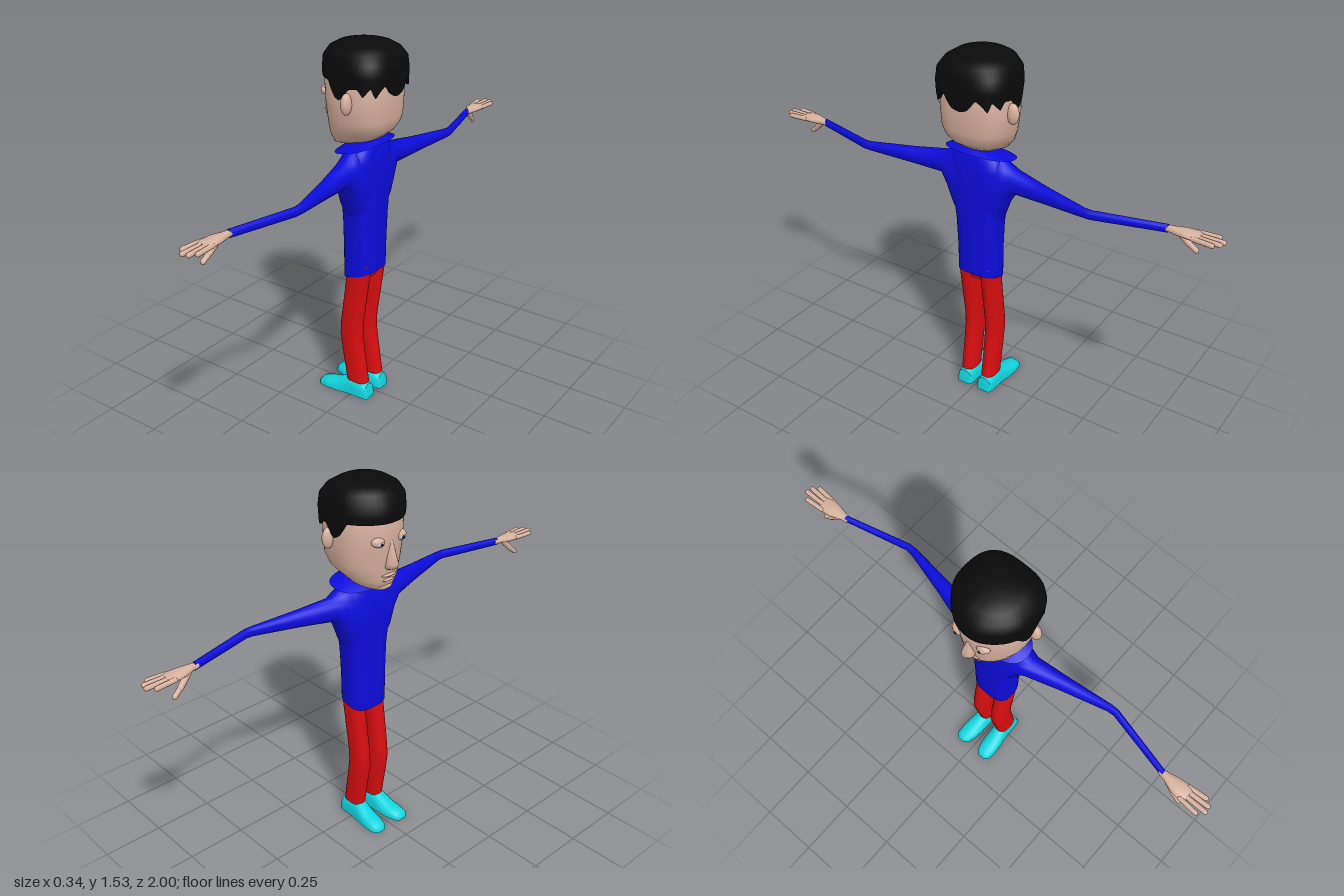
import * as THREE from 'three';
import { toCreasedNormals } from 'three/addons/utils/BufferGeometryUtils.js';

const mat = (name, color) => Object.assign(new THREE.MeshStandardMaterial({ color }), { name });
const V = (x, y, z) => new THREE.Vector3(x, y, z);
const spow = (v, p) => Math.sign(v) * Math.abs(v) ** p;

// Skin a list of closed rings; ends are capped and faces turned outward
function loft(rings, capped = true, crease = 0.9) {
  const n = rings[0].length, pos = [], idx = [];
  rings.forEach(r => r.forEach(p => pos.push(p.x, p.y, p.z)));
  for (let i = 0; i < rings.length - 1; i++) for (let j = 0; j < n; j++) {
    const a = i * n + j, b = i * n + (j + 1) % n;
    idx.push(a, b, a + n, b, b + n, a + n);
  }
  if (capped) [0, rings.length - 1].forEach((k, end) => {
    const c = rings[k].reduce((s, p) => s.add(p), V(0, 0, 0)).divideScalar(n), ci = pos.length / 3;
    pos.push(c.x, c.y, c.z);
    for (let j = 0; j < n; j++) {
      const a = k * n + j, b = k * n + (j + 1) % n;
      if (end) idx.push(a, b, ci); else idx.push(b, a, ci);
    }
  });
  const at = i => V(pos[3 * i], pos[3 * i + 1] - 1, pos[3 * i + 2]);
  let vol = 0;
  for (let i = 0; i < idx.length; i += 3) vol += at(idx[i]).dot(at(idx[i + 1]).cross(at(idx[i + 2])));
  if (vol < 0) idx.reverse();
  const g = new THREE.BufferGeometry();
  g.setAttribute('position', new THREE.Float32BufferAttribute(pos, 3));
  g.setIndex(idx);
  return toCreasedNormals(g, crease);
}

// Level ring: front and back x, half width, optional tilt, squareness and narrowing toward the face
function ring(y, xf, xb, hz, { tilt = 0, p = 1, narrow = 0, cz = 0, n = 32, edge = null } = {}) {
  return Array.from({ length: n }, (_, i) => {
    const t = i / n * Math.PI * 2, c = spow(Math.cos(t), p), s = spow(Math.sin(t), p);
    const x = (xf + xb) / 2 + (xb - xf) / 2 * c;
    const z = hz * s * (1 - narrow * Math.max(0, -c) ** 2);
    return V(x, (edge ? edge(t) : y) + tilt * x, cz + z);
  });
}

// Upright ring around the arm axis: z, x range, y range
function armRing(z, x0, x1, y0, y1, n = 20) {
  return Array.from({ length: n }, (_, i) => {
    const t = i / n * Math.PI * 2;
    return V((x0 + x1) / 2 + (x1 - x0) / 2 * Math.cos(t), (y0 + y1) / 2 + (y1 - y0) / 2 * Math.sin(t), z);
  });
}

// Jagged hairline height by angle, from nape (0) to forehead (pi)
const HAIRLINE = [[0, 1.335], [0.12, 1.345], [0.32, 1.39], [0.5, 1.37], [0.65, 1.345], [0.8, 1.385], [1.05, 1.35],
  [1.2, 1.38], [1.42, 1.375], [1.58, 1.325], [1.8, 1.395], [3.15, 1.395]];
function hairline(t) {
  const a = t > Math.PI ? Math.PI * 2 - t : t;
  const k = HAIRLINE.findIndex(h => h[0] >= a);
  if (k <= 0) return HAIRLINE[0][1];
  const [a0, y0] = HAIRLINE[k - 1], [a1, y1] = HAIRLINE[k];
  return y0 + (y1 - y0) * (a - a0) / (a1 - a0);
}

export function createModel() {
  const blue = mat('shirt blue', 0x0c0cdc), red = mat('trouser red', 0xd80e10), teal = mat('shoe teal', 0x12d4de);
  const skin = mat('skin', 0xd6b09d), black = mat('hair black', 0x0a0a0a), grey = mat('eye grey', 0xb9b3bd);
  const collarBlue = mat('collar blue', 0x0c0cdc);
  collarBlue.side = black.side = THREE.DoubleSide;

  const root = new THREE.Group();
  root.name = 'figure';
  const add = (name, geo, m, parent = root) => {
    const mesh = new THREE.Mesh(geo, m);
    mesh.name = name;
    parent.add(mesh);
    return mesh;
  };
  const ball = (name, m, p, s, parent) => {
    const b = add(name, new THREE.SphereGeometry(1, 20, 14), m, parent);
    b.position.set(...p);
    b.scale.set(...s);
    return b;
  };
  const capsule = (name, a, b, r, parent) => {
    const d = b.clone().sub(a);
    const c = add(name, new THREE.CapsuleGeometry(r, d.length(), 5, 12), skin, parent);
    c.position.copy(a).add(b).multiplyScalar(0.5);
    c.quaternion.setFromUnitVectors(V(0, 1, 0), d.normalize());
  };

  // Shirt body with slanted hem
  const sq = { p: 0.7 };
  add('shirtBody', loft([
    ring(0.565, -0.05, 0.085, 0.09, { ...sq, tilt: 0.27 }), ring(0.7, -0.052, 0.088, 0.09, sq),
    ring(0.82, -0.052, 0.09, 0.096, sq), ring(0.95, -0.052, 0.09, 0.115, sq), ring(1.06, -0.05, 0.09, 0.12, sq),
    ring(1.11, -0.03, 0.085, 0.105, sq), ring(1.135, -0.015, 0.075, 0.06)]), blue);

  // Open collar with spread flaps
  add('collar', loft([
    ring(1.115, -0.068, 0.1, 0.15, { tilt: 0.18, p: 0.85, n: 40 }),
    ring(1.133, -0.04, 0.085, 0.1, { tilt: 0.15, n: 40 }),
    ring(1.14, -0.025, 0.075, 0.055, { tilt: 0.15, n: 40 }),
    ring(1.115, -0.02, 0.07, 0.05, { tilt: 0.15, n: 40 })], false), collarBlue);

  // Head, tilted at the jaw
  const hd = { p: 0.7, narrow: 0.42, n: 48 };
  const head = new THREE.Group();
  head.name = 'head';
  root.add(head);
  add('neck', loft([ring(1.08, -0.015, 0.065, 0.045), ring(1.18, -0.015, 0.065, 0.045)]), skin, head);
  add('skull', loft([
    ring(1.13, -0.075, 0.09, 0.06, { ...hd, tilt: 0.3 }), ring(1.147, -0.115, 0.122, 0.092, { ...hd, tilt: 0.29 }),
    ring(1.18, -0.125, 0.138, 0.124, { ...hd, tilt: 0.22 }), ring(1.225, -0.13, 0.145, 0.14, { ...hd, tilt: 0.1 }),
    ring(1.3, -0.141, 0.147, 0.147, hd), ring(1.4, -0.144, 0.152, 0.147, hd),
    ring(1.47, -0.12, 0.13, 0.12, hd)], true, 1.3), skin, head);
  add('nose', loft([
    ring(1.2, -0.138, -0.11, 0.012, { n: 16 }), ring(1.212, -0.163, -0.11, 0.025, { n: 16 }),
    ring(1.23, -0.171, -0.11, 0.024, { n: 16 }), ring(1.27, -0.156, -0.11, 0.017, { n: 16 }),
    ring(1.32, -0.143, -0.11, 0.011, { n: 16 })], true, 1.3), skin, head);
  ball('upperLip', skin, [-0.124, 1.177, 0], [0.012, 0.007, 0.035], head);
  ball('lowerLip', skin, [-0.119, 1.157, 0], [0.012, 0.008, 0.03], head);
  ball('chin', skin, [-0.098, 1.127, 0], [0.025, 0.018, 0.04], head);

  // Hair cap ending in points
  const hr = { p: 0.7, narrow: 0.42, n: 144 };
  add('hair', loft([
    ring(0, -0.146, 0.152, 0.147, { ...hr, edge: t => hairline(t) + 0.004 }),
    ring(0, -0.151, 0.164, 0.156, { ...hr, edge: hairline }),
    ring(1.42, -0.152, 0.166, 0.158, hr), ring(1.465, -0.147, 0.16, 0.153, { ...hr, narrow: 0.4 }),
    ring(1.497, -0.125, 0.14, 0.132, { ...hr, p: 0.75, narrow: 0.35 }),
    ring(1.517, -0.09, 0.11, 0.1, { ...hr, p: 0.85, narrow: 0.2 }),
    ring(1.529, -0.04, 0.06, 0.05, { ...hr, p: 1, narrow: 0 })], true, 1.2), black, head);

  for (const s of [1, -1]) {
    const side = s > 0 ? 'left' : 'right';
    const mirror = r => r.map(p => V(p.x, p.y, p.z * s));

    // Face details at the side
    ball(side + 'Ear', skin, [0.04, 1.318, s * 0.155], [0.02, 0.042, 0.026], head);
    ball(side + 'Eyelid', skin, [-0.123, 1.324, s * 0.055], [0.02, 0.02, 0.03], head);
    ball(side + 'Eye', grey, [-0.128, 1.318, s * 0.055], [0.018, 0.014, 0.022], head);
    ball(side + 'Pupil', black, [-0.144, 1.318, s * 0.055], [0.004, 0.007, 0.007], head);

    // Sleeve flowing out of the shoulder, bent back at the elbow
    add(side + 'Sleeve', loft([
      armRing(0.05, -0.05, 0.088, 0.76, 1.14), armRing(0.1, -0.046, 0.085, 0.84, 1.122),
      armRing(0.13, -0.035, 0.078, 0.925, 1.1), armRing(0.165, -0.024, 0.064, 0.982, 1.08),
      armRing(0.3, 0.018, 0.078, 0.996, 1.066), armRing(0.49, 0.07, 0.1, 1.012, 1.052),
      armRing(0.52, 0.072, 0.1, 1.013, 1.051), armRing(0.79, 0.006, 0.03, 1.016, 1.049)].map(mirror)), blue);

    // Hand: palm, four fingers and a hanging thumb
    const hand = new THREE.Group();
    hand.name = side + 'Hand';
    root.add(hand);
    add('palm', loft([
      armRing(0.775, 0.006, 0.03, 1.022, 1.044), armRing(0.805, 0, 0.034, 1.02, 1.046),
      armRing(0.85, -0.018, 0.043, 1.018, 1.048), armRing(0.895, -0.024, 0.049, 1.02, 1.045),
      armRing(0.91, -0.02, 0.045, 1.025, 1.04)].map(mirror)), skin, hand);
    [[-0.016, -0.022, 0.965], [0.004, 0.003, 0.99], [0.022, 0.026, 0.985], [0.039, 0.045, 0.963]].forEach(
      ([x0, x1, z], i) => capsule('finger' + (i + 1), V(x0, 1.033, s * 0.89), V(x1, 1.033, s * z), 0.0095, hand));
    capsule('thumbBase', V(0.005, 1.025, s * 0.825), V(-0.002, 0.985, s * 0.865), 0.012, hand);
    capsule('thumbTip', V(-0.002, 0.985, s * 0.865), V(-0.006, 0.963, s * 0.893), 0.01, hand);

    // Trouser leg with bent knee
    const lg = { cz: s * 0.05, p: 0.85, n: 24 };
    add(side + 'TrouserLeg', loft([
      ring(0.62, -0.03, 0.078, 0.037, lg), ring(0.54, -0.034, 0.067, 0.036, lg), ring(0.34, -0.061, 0.038, 0.035, lg),
      ring(0.28, -0.065, 0.036, 0.035, lg), ring(0.2, -0.054, 0.047, 0.034, lg),
      ring(0.065, -0.032, 0.067, 0.033, lg)]), red);

    // Shoe: flat sole, domed sections from toe to heel
    add(side + 'Shoe', loft([
      [-0.166, 0.012, 0.018], [-0.15, 0.028, 0.034], [-0.11, 0.037, 0.041], [-0.07, 0.048, 0.041],
      [-0.03, 0.073, 0.038], [0.0, 0.08, 0.037], [0.045, 0.07, 0.037], [0.072, 0.06, 0.034], [0.083, 0.012, 0.026]
    ].map(([x, h, w]) => Array.from({ length: 24 }, (_, i) => {
      const t = i / 24 * Math.PI * 2;
      return V(x, h * Math.max(0, Math.sin(t)) ** 0.6, s * (0.05 - Math.min(0, x) * 0.08) + w * Math.cos(t));
    }))), teal);
  }

  // Seat joining the legs under the shirt
  add('trouserSeat', loft([ring(0.555, -0.02, 0.06, 0.05), ring(0.63, -0.035, 0.075, 0.08)]), red);
  return root;
}
